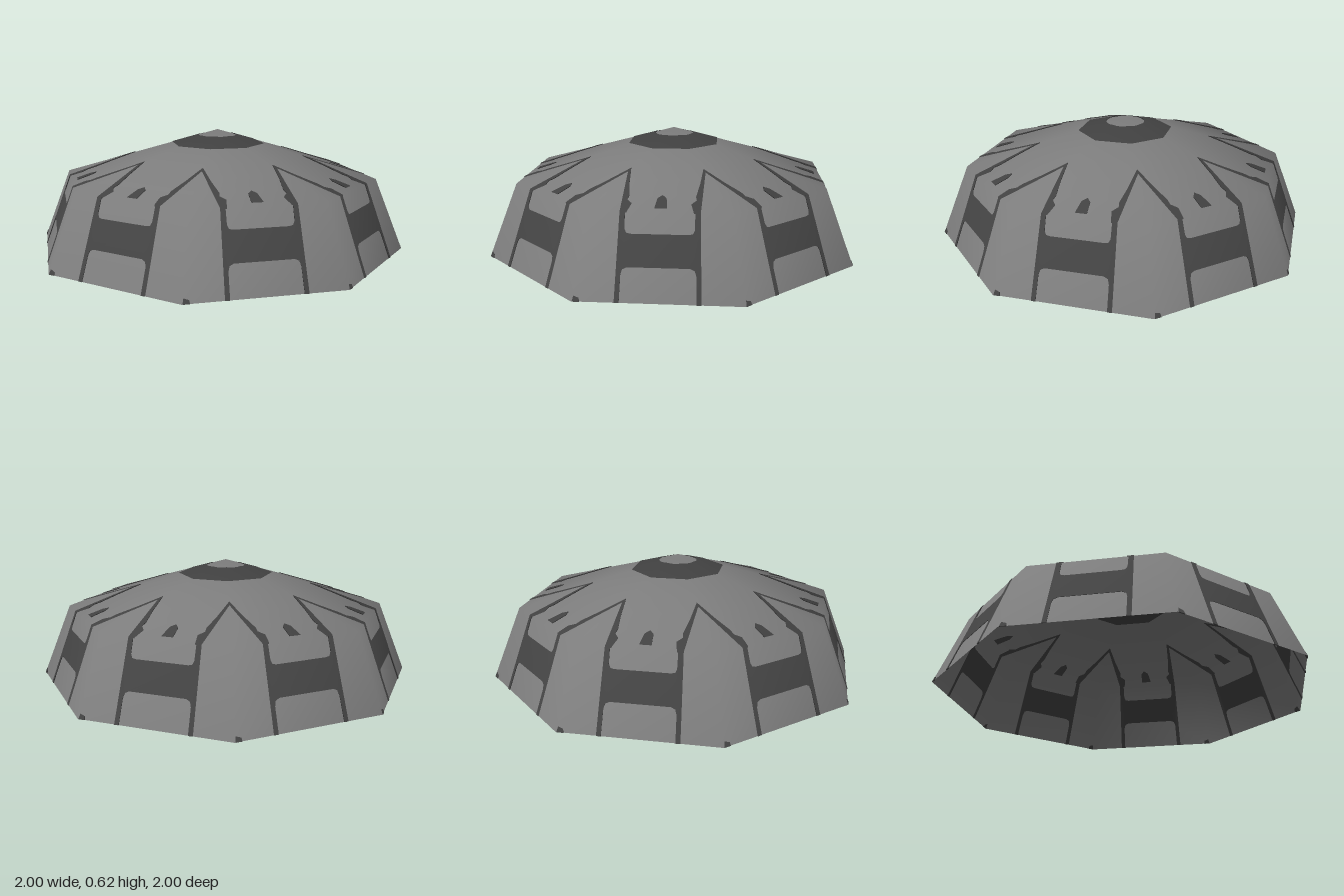
import * as THREE from 'three';

const SIDES = 8, STEP = Math.PI / 4;
const S = Math.sin(STEP / 2), C = Math.cos(STEP / 2);
const RIM = 1, EAVE = 0.85, EAVE_Y = 0.375, TOP_Y = 0.625;
const THICK = 0.006;

// Soft dome-like normals shared by the shell and its painted plates
function domeNormals(geo) {
  const p = geo.attributes.position, n = geo.attributes.normal;
  const v = new THREE.Vector3(), old = new THREE.Vector3();
  for (let i = 0; i < p.count; i++) {
    v.fromBufferAttribute(p, i);
    v.y += 0.6;
    v.normalize();
    old.fromBufferAttribute(n, i);
    if (old.dot(v) < 0) v.negate();
    n.setXYZ(i, v.x, v.y, v.z);
  }
  return geo;
}

// Thin plate from a flat outline, seen from inside and outside, bent onto a panel by a rule
function plate(points, rule) {
  const shape = new THREE.Shape(points.map(([x, y]) => new THREE.Vector2(x, y)));
  const geo = new THREE.ExtrudeGeometry(shape, { depth: THICK, bevelEnabled: false });
  const p = geo.attributes.position;
  for (let i = 0; i < p.count; i++) {
    p.setXYZ(i, ...rule(p.getX(i), p.getY(i), p.getZ(i) - THICK / 2));
  }
  geo.computeVertexNormals();
  return domeNormals(geo);
}

// Panel rules: wall uses (across, height), roof uses (across, distance from axis)
const onWall = (u, h, w) => [u, h, (RIM - (RIM - EAVE) * h / EAVE_Y) * C + w];
const onRoof = (u, a, w) => [u, TOP_Y - (TOP_Y - EAVE_Y) * a / (EAVE * C) - w, a];
const mirror = pts => pts.map(([x, y]) => [-x, y]);

export function createModel() {
  const model = new THREE.Group();
  model.name = 'octagonalDome';
  const grey = new THREE.MeshStandardMaterial({ color: 0x7c7c7c, side: THREE.DoubleSide });
  grey.name = 'light grey';
  const dark = new THREE.MeshStandardMaterial({ color: 0x414141, side: THREE.DoubleSide });
  dark.name = 'dark grey';

  const add = (parent, name, geo, mat) => {
    const mesh = new THREE.Mesh(geo, mat);
    mesh.name = name;
    parent.add(mesh);
  };

  // Open shell: sloping wall and shallow roof
  const wall = new THREE.CylinderGeometry(EAVE, RIM, EAVE_Y, SIDES, 1, true);
  wall.translate(0, EAVE_Y / 2, 0);
  add(model, 'wall', domeNormals(wall), grey);
  const roofHeight = TOP_Y - EAVE_Y;
  const roof = new THREE.ConeGeometry(EAVE, roofHeight, SIDES, 6, true);
  roof.translate(0, EAVE_Y + roofHeight / 2, 0);
  add(model, 'roof', domeNormals(roof), grey);

  // H-shaped wall frame: two legs joined by a band with softened corners
  const half = [[0.14, 0.147], [0.16, 0.138], [0.167, 0.115], [0.17, 0], [0.192, 0],
    [0.18, EAVE_Y], [0.156, EAVE_Y], [0.156, 0.305], [0.148, 0.288], [0.13, 0.284]];
  const frame = plate([...half, ...mirror(half).reverse()], onWall);

  // Small chip at the foot of each corner
  const chip = plate([[-0.378, 0], [-0.345, 0], [-0.348, 0.016], [-0.372, 0.024]], onWall);

  // Roof arm, given as (sideways, outward) from the ridge, turned into panel coordinates
  const arm = [[0, 0.46], [0.06, 0.58], [0.112, 0.67], [0.118, 0.70], [0.152, 0.72],
    [0.163, 0.784], [0.135, 0.796], [0, 0.49]]
    .map(([x, z]) => [x * C - z * S, x * S + z * C]);
  const leftArm = plate(arm, onRoof), rightArm = plate(mirror(arm), onRoof);

  // Small tapered slot in the middle of each roof panel
  const slot = plate([[-0.028, 0.755], [-0.022, 0.68], [0, 0.655], [0.02, 0.68], [0.028, 0.755]], onRoof);

  // One segment of the ring round the peak: straight outside, curved inside
  const inner = [-2, -1, 0, 1, 2].map(i => {
    const t = i * STEP / 4;
    return [0.102 * Math.sin(t), 0.102 * Math.cos(t)];
  });
  const ring = plate([...inner, [0.25 * S, 0.25 * C], [-0.25 * S, 0.25 * C]], onRoof);

  for (let k = 0; k < SIDES; k++) {
    const panel = new THREE.Group();
    panel.name = 'panelMarkings' + (k + 1);
    panel.rotation.y = (k + 0.5) * STEP;
    add(panel, 'wallFrame', frame, dark);
    add(panel, 'cornerChip', chip, dark);
    add(panel, 'leftRoofArm', leftArm, dark);
    add(panel, 'rightRoofArm', rightArm, dark);
    add(panel, 'roofSlot', slot, dark);
    add(panel, 'peakRingSegment', ring, dark);
    model.add(panel);
  }
  return model;
}
